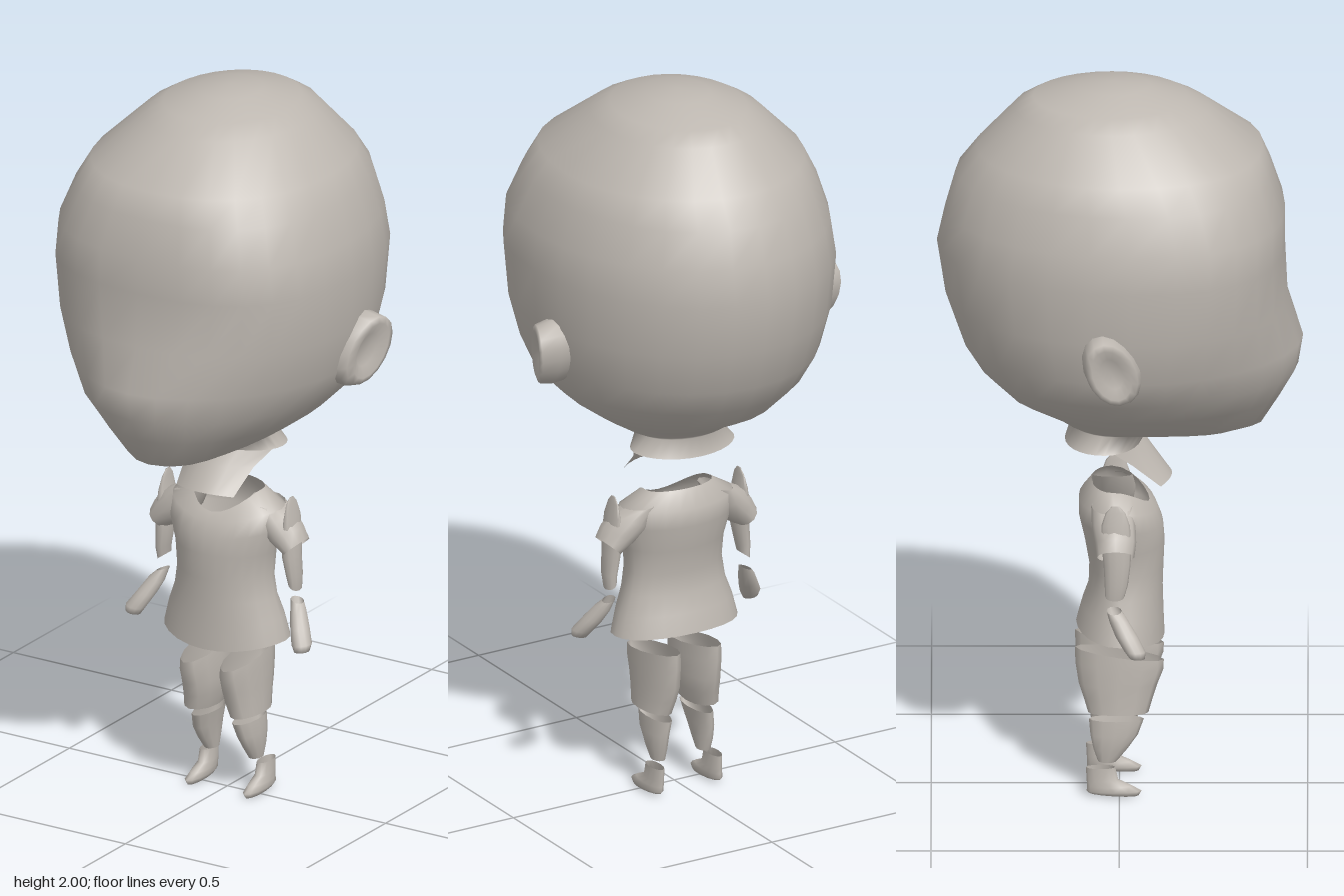
import * as THREE from 'three';

const skin = new THREE.MeshStandardMaterial({ color: 0xbdb7b0, side: THREE.DoubleSide });
skin.name = 'warm grey';

// Smooth skin over rings listed bottom to top; each ring runs from +z towards +x.
function skinRings(name, rings, { closed = true, capTop = false, capBottom = false, flip = false } = {}) {
  const n = rings[0].length, pos = rings.flat(2), idx = [];
  const tri = (a, b, c) => (flip ? idx.push(a, c, b) : idx.push(a, b, c));
  for (let i = 0; i < rings.length - 1; i++) {
    for (let j = 0; j < (closed ? n : n - 1); j++) {
      const a = i * n + j, b = i * n + (j + 1) % n;
      tri(a, b, b + n);
      tri(a, b + n, a + n);
    }
  }
  const cap = (i, top) => {
    const mid = [0, 1, 2].map(k => rings[i].reduce((s, p) => s + p[k], 0) / n);
    if (capTop === 'dome' && top) mid[1] += 0.008;
    const c = pos.length / 3;
    pos.push(...mid);
    for (let j = 0; j < n; j++) {
      const a = i * n + j, b = i * n + (j + 1) % n;
      if (top) tri(a, b, c); else tri(b, a, c);
    }
  };
  if (capTop) cap(rings.length - 1, true);
  if (capBottom) cap(0, false);
  const g = new THREE.BufferGeometry();
  g.setAttribute('position', new THREE.Float32BufferAttribute(pos, 3));
  g.setIndex(idx);
  g.computeVertexNormals();
  const mesh = new THREE.Mesh(g, skin);
  mesh.name = name;
  return mesh;
}

const around = (n, f) => Array.from({ length: n }, (_, j) => f(Math.PI * 2 * j / n));
const pow = (v, e) => Math.sign(v) * Math.abs(v) ** e;

// Ring with its own front and back depth: [yFront, ySide, yBack, zFront, zBack, halfWidth, zWidest, frontRoundness]
const bodyRing = ([yF, yS, yB, zF, zB, hw, z0, nF = 2], seg) => around(seg, t => {
  const s = Math.sin(t), c = Math.cos(t), e = c > 0 ? 2 / nF : 1;
  return [hw * pow(s, e), yS + ((c > 0 ? yF : yB) - yS) * c * c, z0 + (c > 0 ? zF - z0 : z0 - zB) * pow(c, e)];
});

// Elliptical limb ring: [y, centreX, centreZ, radiusX, radiusZ, riseOutward, riseForward]
const limbRing = ([y, cx, cz, rx, rz, rise = 0, fwd = 0], side) => around(12, t => [
  side * cx + rx * Math.sin(t),
  y + side * rise * Math.sin(t) + fwd * Math.cos(t),
  cz + rz * Math.cos(t),
]);

const limb = (name, side, sections, options) =>
  skinRings(name, sections.map(s => limbRing(s, side)), options);

function makeHead() {
  const level = (y, ...rest) => [y, y, y, ...rest];
  const sections = [
    [0.99, 0.99, 0.985, 0.06, -0.145, 0.15, -0.04],
    [1.03, 1.03, 1.035, 0.085, -0.13, 0.115, -0.02],
    [1.015, 1.04, 1.05, 0.30, -0.155, 0.14, 0],
    [1.045, 1.075, 1.08, 0.385, -0.20, 0.20, 0.03],
    level(1.13, 0.435, -0.30, 0.275, 0.03),
    level(1.2, 0.475, -0.37, 0.345, 0.03, 1.9),
    level(1.28, 0.488, -0.42, 0.385, 0.03, 1.9),
    level(1.4, 0.447, -0.462, 0.41, 0.03, 2.3),
    level(1.55, 0.44, -0.485, 0.418, 0.03, 2.5),
    level(1.65, 0.44, -0.463, 0.406, 0.03, 2.5),
    level(1.75, 0.408, -0.435, 0.37, 0.02, 2.4),
    level(1.82, 0.38, -0.38, 0.335, 0, 2.3),
    level(1.93, 0.24, -0.28, 0.225, -0.02),
    level(1.96, 0.18, -0.23, 0.175, -0.02),
    level(1.992, 0.08, -0.11, 0.085, -0.02),
  ];
  return skinRings('head', sections.map(s => bodyRing(s, 28)), { capTop: 'dome' });
}

// Flap of the neck hanging down in front
function makeNeckFlap() {
  const rows = [[0.885, 0.09, 0.14, 0.03], [0.95, 0.105, 0.095, 0.06], [1.0, 0.14, 0.06, 0.08]];
  return skinRings('neckFlap', rows.map(([y, hw, z, sag]) =>
    Array.from({ length: 9 }, (_, j) => {
      const u = j / 4 - 1;
      return [hw * u, y - 0.006 * u * u, z - sag * u * u];
    })), { closed: false });
}

// Ear: flares outward and back from the head, with a shallow hollow
function makeEar(side) {
  const rings = [[0.34, 0, 0.095, 0.075], [0.40, 0.3, 0.1, 0.075], [0.437, 1, 0.092, 0.066],
    [0.443, 1, 0.075, 0.05], [0.428, 1, 0.045, 0.028]];
  return skinRings(side > 0 ? 'leftEar' : 'rightEar', rings.map(([x, tilt, ry, rz]) =>
    around(16, t => {
      const dy = ry * Math.cos(t), dz = -rz * Math.sin(t);
      return [side * (x + tilt * (dy * 0.17 - dz * 0.35)), 1.33 + dy, -0.02 + dz - dy * 0.25];
    })), { capTop: true, flip: side < 0 });
}

function makeShirt() {
  const sections = [
    [0.43, 0.455, 0.465, 0.12, -0.115, 0.185, 0],
    [0.5, 0.515, 0.52, 0.117, -0.1, 0.17, 0],
    [0.57, 0.57, 0.57, 0.115, -0.082, 0.15, 0],
    [0.63, 0.63, 0.63, 0.117, -0.08, 0.14, 0],
    [0.7, 0.7, 0.7, 0.12, -0.092, 0.145, 0],
    [0.75, 0.77, 0.77, 0.116, -0.108, 0.165, 0],
    [0.79, 0.825, 0.82, 0.1, -0.108, 0.165, -0.01],
    [0.81, 0.865, 0.868, 0.08, -0.075, 0.1, -0.02],
  ];
  return skinRings('shirt', sections.map(s => bodyRing(s, 24)));
}

function makeSide(side) {
  const g = new THREE.Group();
  g.name = side > 0 ? 'leftLimbs' : 'rightLimbs';
  g.add(
    // Sleeve runs from the shoulder out to a slanted cuff
    limb('sleeve', side, [
      [0.725, 0.212, -0.01, 0.026, 0.05, 0.024],
      [0.755, 0.182, -0.01, 0.042, 0.055, 0.025],
      [0.79, 0.148, -0.015, 0.05, 0.058, 0.02],
      [0.835, 0.115, -0.02, 0.045, 0.055, -0.01],
    ]),
    // Upper arm, its top ending in a thin fin over the shoulder
    limb('upperArm', side, [
      [0.612, 0.207, -0.012, 0.014, 0.026, -0.01],
      [0.645, 0.207, -0.008, 0.018, 0.031],
      [0.7, 0.2, -0.006, 0.022, 0.036],
      [0.76, 0.198, -0.008, 0.02, 0.04],
      [0.81, 0.198, -0.01, 0.011, 0.038],
      [0.845, 0.196, -0.01, 0.005, 0.026],
      [0.863, 0.195, -0.01, 0.002, 0.01],
    ], { capTop: true }),
    // Forearm and mitten hand
    limb('forearm', side, [
      [0.457, 0.266, 0.048, 0.021, 0.02, 0.003],
      [0.475, 0.262, 0.042, 0.027, 0.028, 0.004],
      [0.51, 0.242, 0.02, 0.024, 0.03, 0.005],
      [0.545, 0.224, 0, 0.02, 0.026, 0.006],
      [0.572, 0.212, -0.014, 0.017, 0.02, -0.006],
    ], { capBottom: true }),
    limb('shortsLeg', side, [
      [0.23, 0.073, -0.003, 0.041, 0.08, 0.004],
      [0.27, 0.066, -0.003, 0.046, 0.092],
      [0.31, 0.063, -0.003, 0.047, 0.105],
      [0.36, 0.063, 0, 0.045, 0.117, 0, -0.01],
      [0.395, 0.063, 0, 0.042, 0.118, 0, -0.018],
    ]),
    limb('lowerLeg', side, [
      [0.09, 0.07, -0.032, 0.018, 0.025],
      [0.125, 0.071, -0.024, 0.023, 0.045],
      [0.165, 0.07, -0.014, 0.026, 0.063],
      [0.208, 0.064, -0.008, 0.028, 0.073],
    ]),
    limb('foot', side, [
      [0.004, 0.092, -0.015, 0.019, 0.066, 0, -0.004],
      [0.014, 0.092, -0.014, 0.023, 0.073],
      [0.028, 0.091, -0.026, 0.022, 0.06],
      [0.045, 0.09, -0.045, 0.019, 0.042],
      [0.08, 0.09, -0.05, 0.017, 0.039],
    ], { capBottom: true }),
  );
  return g;
}

export function createModel() {
  const model = new THREE.Group();
  model.name = 'figure';
  model.add(makeHead(), makeNeckFlap(), makeShirt());
  for (const side of [1, -1]) model.add(makeEar(side), makeSide(side));
  return model;
}
